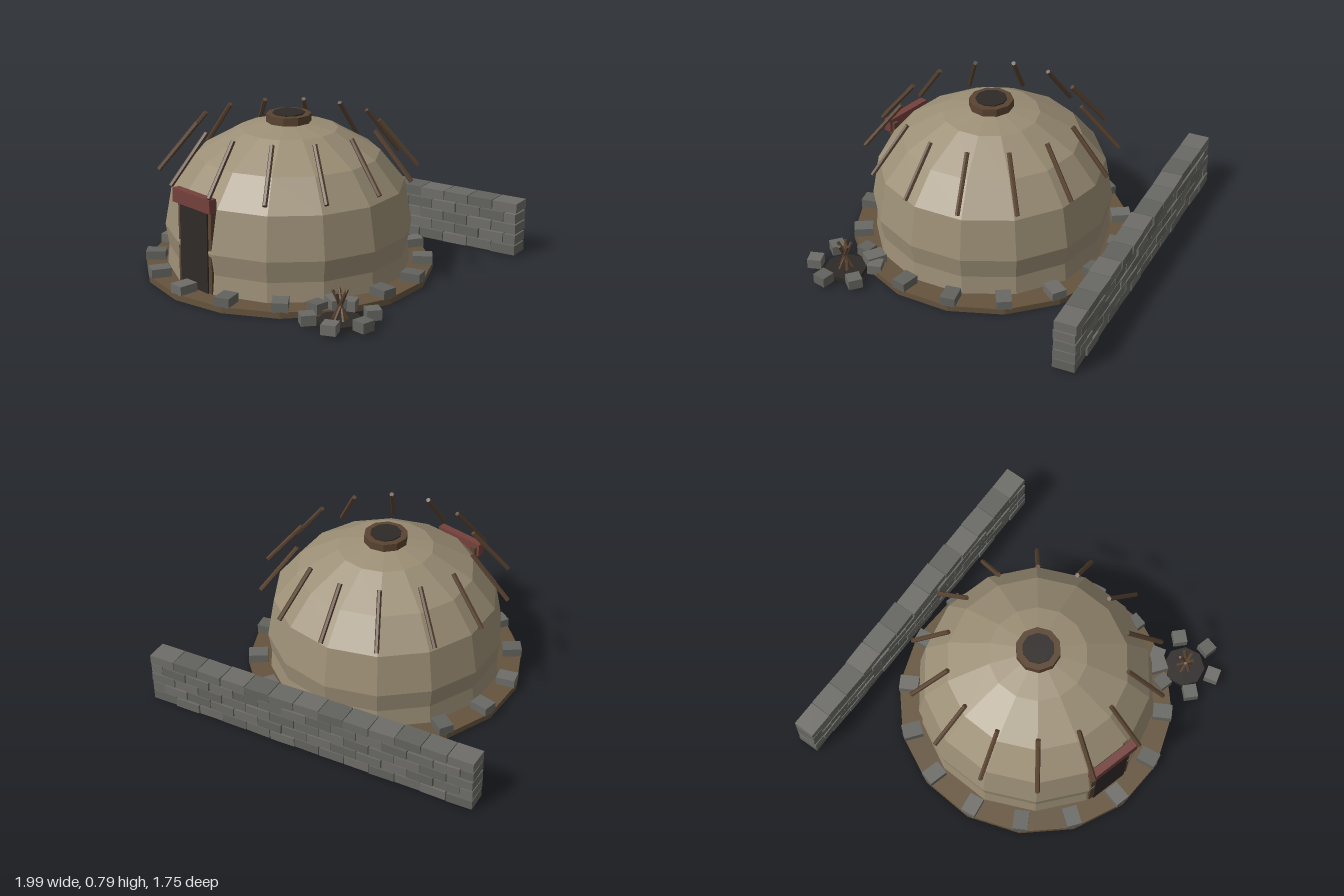
import * as THREE from 'three';

const mat = (color) => new THREE.MeshStandardMaterial({ color, flatShading: true });

export function createModel() {
  const model = new THREE.Group();
  const hide = mat(0x9c8f76), earth = mat(0x65543d), wood = mat(0x5a4431);
  const dark = mat(0x2e2a28), red = mat(0x74403b);
  const stones = [mat(0x62625e), mat(0x6e6d68), mat(0x686864)];

  let seed = 7;
  const rand = () => (seed = (seed * 16807) % 2147483647) / 2147483647 - 0.5;

  const add = (parent, name, geometry, material, x = 0, y = 0, z = 0) => {
    const mesh = new THREE.Mesh(geometry, material);
    mesh.name = name;
    mesh.position.set(x, y, z);
    parent.add(mesh);
    return mesh;
  };
  const group = (name, x, z) => {
    const g = new THREE.Group();
    g.name = name;
    g.position.set(x, 0, z);
    model.add(g);
    return g;
  };
  const box = (w, h, d) => new THREE.BoxGeometry(w, h, d);
  // Round stick between two points
  const stick = (parent, name, a, b, r) => {
    const dir = b.clone().sub(a);
    const m = add(parent, name, new THREE.CylinderGeometry(r, r, dir.length(), 6), wood);
    m.position.copy(a).add(b).multiplyScalar(0.5);
    m.quaternion.setFromUnitVectors(new THREE.Vector3(0, 1, 0), dir.normalize());
  };
  const polar = (r, a, y) => new THREE.Vector3(r * Math.cos(a), y, r * Math.sin(a));

  // Hut: earth floor and faceted dome
  const hut = group('hut', 0.083, 0.155);
  add(hut, 'floor', new THREE.CylinderGeometry(0.71, 0.71, 0.03, 16), earth, 0, 0.015);
  const profile = [[0.597, 0.03], [0.588, 0.125], [0.605, 0.23], [0.568, 0.44],
    [0.447, 0.59], [0.24, 0.71], [0, 0.76]].map(([r, y]) => new THREE.Vector2(r, y));
  const dome = add(hut, 'dome', new THREE.LatheGeometry(profile, 14), hide);
  dome.rotation.y = Math.PI / 2;

  // Smoke hole
  add(hut, 'smokeRing', new THREE.CylinderGeometry(0.11, 0.11, 0.04, 10), wood, 0, 0.761);
  add(hut, 'smokeHole', new THREE.CylinderGeometry(0.078, 0.078, 0.04, 10), dark, 0, 0.767);

  // Doorway
  add(hut, 'door', box(0.2, 0.41, 0.06), dark, 0, 0.235, 0.565);
  for (const side of [-1, 1]) {
    add(hut, 'doorPost', box(0.028, 0.45, 0.035), wood, side * 0.108, 0.255, 0.57);
  }
  add(hut, 'lintel', box(0.275, 0.068, 0.04), red, 0, 0.465, 0.588);

  // Leaning roof poles
  for (let i = 0; i < 14; i++) {
    const a = (i / 14) * Math.PI * 2;
    stick(hut, 'roofPole', polar(0.63, a, 0.508), polar(0.44, a, 0.74), 0.012);
  }

  // Stones around the floor
  for (let i = 0; i < 16; i++) {
    const a = (i / 16) * Math.PI * 2;
    const p = polar(0.658, a, 0.05);
    const s = add(hut, 'floorStone', box(0.098, 0.046, 0.076), stones[i % 3], p.x, p.y, p.z);
    s.rotation.y = -a;
  }

  // Fire pit with ring of stones and crossed kindling
  const fire = group('firePit', 0.81, 0.492);
  add(fire, 'ashBed', new THREE.CylinderGeometry(0.107, 0.107, 0.02, 8), dark, 0, 0.012);
  for (let i = 0; i < 6; i++) {
    const a = (i / 6) * Math.PI * 2;
    const p = polar(0.152, a, 0.039);
    add(fire, 'fireStone', box(0.07, 0.05, 0.07), stones[i % 3], p.x, p.y, p.z).rotation.y = -a;
  }
  for (let i = 0; i < 5; i++) {
    const a = (i / 5) * Math.PI * 2;
    stick(fire, 'kindling', polar(0.035, a + 2.8, 0.02), polar(0.035, a, 0.16), 0.008);
  }

  // Dry-stone wall in running bond, half blocks closing alternate courses
  const wall = group('stoneWall', -0.125, -0.6);
  wall.rotation.y = 0.255;
  const length = 1.775, count = 13, pitch = length / count;
  for (let row = 0; row < 5; row++) {
    const odd = row % 2;
    for (let i = 0; i < count + odd; i++) {
      const start = Math.max(0, (i - odd / 2) * pitch);
      const end = Math.min(length, (i + 1 - odd / 2) * pitch);
      const block = add(wall, 'wallBlock', box(end - start - 0.004, 0.048, 0.112),
        stones[(i + row) % 3], (start + end) / 2 - length / 2, 0.03 + row * 0.055, rand() * 0.008);
      block.rotation.y = rand() * 0.06;
    }
  }

  // Centre on x and z and stand on the ground
  const bounds = new THREE.Box3().setFromObject(model);
  const c = bounds.getCenter(new THREE.Vector3());
  for (const part of model.children) part.position.sub(new THREE.Vector3(c.x, bounds.min.y, c.z));
  return model;
}
